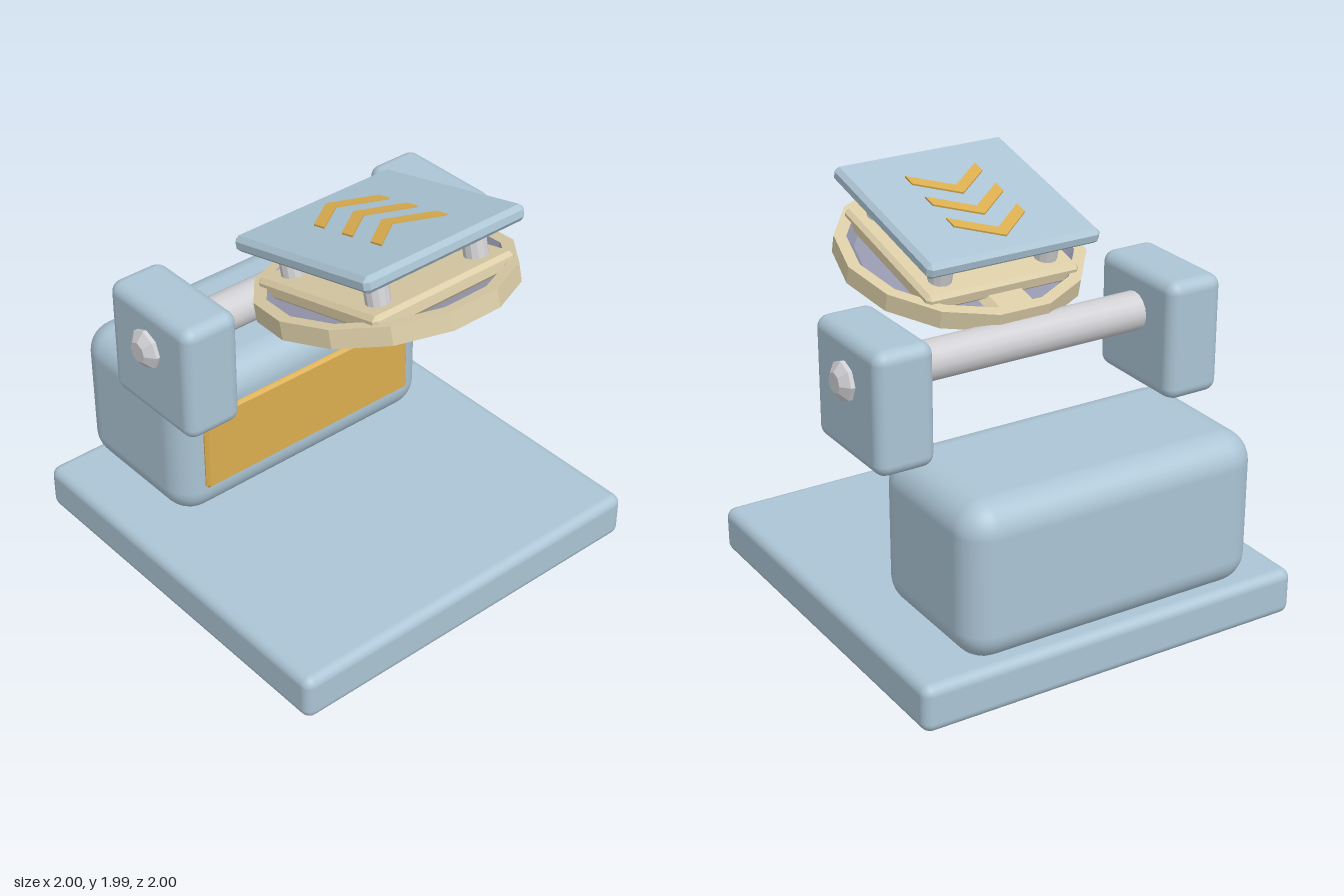
import * as THREE from 'three';
import { RoundedBoxGeometry } from 'three/addons/geometries/RoundedBoxGeometry.js';
import { ConvexGeometry } from 'three/addons/geometries/ConvexGeometry.js';

function mat(name, color) {
  const m = new THREE.MeshStandardMaterial({ color });
  m.name = name;
  return m;
}

// Box with every edge chamfered by c
function chamferBox(w, h, d, c) {
  const pts = [];
  for (const x of [-w / 2, w / 2]) for (const y of [-h / 2, h / 2]) for (const z of [-d / 2, d / 2]) {
    const ix = x - Math.sign(x) * c, iy = y - Math.sign(y) * c, iz = z - Math.sign(z) * c;
    pts.push(new THREE.Vector3(x, iy, iz), new THREE.Vector3(ix, y, iz), new THREE.Vector3(ix, iy, z));
  }
  return new ConvexGeometry(pts);
}

// Faceted turned part from [radius, height] pairs
function turned(profile, sides) {
  const g = new THREE.LatheGeometry(profile.map(p => new THREE.Vector2(...p)), sides, Math.PI / 2).toNonIndexed();
  g.computeVertexNormals();
  return g;
}

export function createModel() {
  const blue = mat('pale blue', 0xabc4d4);
  const gold = mat('gold', 0xdbad4f);
  const tan = mat('tan', 0xdaccA6);
  const violet = mat('grey violet', 0x9698ae);
  const silver = mat('silver', 0xd0d0d4);

  const model = new THREE.Group();
  const add = (parent, name, geometry, material, x = 0, y = 0, z = 0) => {
    const mesh = new THREE.Mesh(geometry, material);
    mesh.name = name;
    mesh.position.set(x, y, z);
    parent.add(mesh);
    return mesh;
  };

  // Base slab, body block and front panel
  add(model, 'base', new RoundedBoxGeometry(2, 0.235, 2, 3, 0.05), blue, 0, 0.1175, 0);
  add(model, 'body', new RoundedBoxGeometry(1.54, 0.765, 0.81, 4, 0.15), blue, 0, 0.6175, -0.595);
  add(model, 'frontPanel', chamferBox(1.27, 0.425, 0.06, 0.015), gold, 0, 0.6175, -0.2);

  // Bearing blocks with a bolt on each outer side
  for (const s of [-1, 1]) {
    add(model, 'bearingBlock', new RoundedBoxGeometry(0.295, 0.59, 0.585, 3, 0.06), blue, s * 0.7675, 1.275, -0.1925);
    const bolt = add(model, 'bolt', turned([[0.095, 0], [0.095, 0.035], [0.05, 0.07], [0, 0.07]], 8), silver, s * 0.9, 1.355, -0.195);
    bolt.rotation.z = -s * Math.PI / 2;
  }

  // Axle between the blocks
  const axle = add(model, 'axle', new THREE.CylinderGeometry(0.095, 0.095, 1.4, 16, 1, true), silver, 0, 1.355, -0.195);
  axle.rotation.z = Math.PI / 2;

  // Tilted head
  const head = new THREE.Group();
  head.name = 'tiltedHead';
  head.position.set(0, 1.633, 0.35);
  head.rotation.x = -THREE.MathUtils.degToRad(14);
  model.add(head);

  add(head, 'supportArm', chamferBox(0.265, 0.2, 0.82, 0.045), tan, 0, -0.11, -0.185);
  add(head, 'discRim', turned([[0.54, -0.107], [0.6, -0.08], [0.6, 0.01], [0.54, 0.01]], 14), tan);
  add(head, 'dish', turned([[0, -0.107], [0.54, -0.107], [0.54, 0.01], [0.5, -0.045], [0, -0.045]], 14), violet);
  add(head, 'lowerPlate', chamferBox(0.82, 0.085, 0.82, 0.02), tan, 0, 0.0025, 0.005);

  // Hub and four posts carrying the top plate
  add(head, 'hub', turned([[0.08, 0.04], [0.13, 0.085], [0.13, 0.125], [0.08, 0.17], [0, 0.17]], 10), violet, 0, 0, 0.005);
  for (const x of [-0.285, 0.285]) for (const z of [-0.285, 0.295]) {
    add(head, 'post', turned([[0.057, 0.04], [0.057, 0.15], [0.045, 0.165], [0.045, 0.19]], 12), silver, x, 0, z);
  }
  add(head, 'topPlate', chamferBox(0.92, 0.078, 0.92, 0.022), blue, 0, 0.217, 0.005);

  // Chevrons, tips pointing to the back
  const outline = [[0, 0], [0.19, -0.148], [0.19, -0.22], [0, -0.072], [-0.19, -0.22], [-0.19, -0.148]];
  const chevron = new THREE.Shape(outline.map(p => new THREE.Vector2(...p)));
  const chevronGeo = new THREE.ExtrudeGeometry(chevron, { depth: 0.009, bevelEnabled: false }).rotateX(-Math.PI / 2);
  for (let i = 0; i < 3; i++) add(head, 'chevron', chevronGeo, gold, 0, 0.2555, -0.35 + i * 0.193);

  return model;
}
